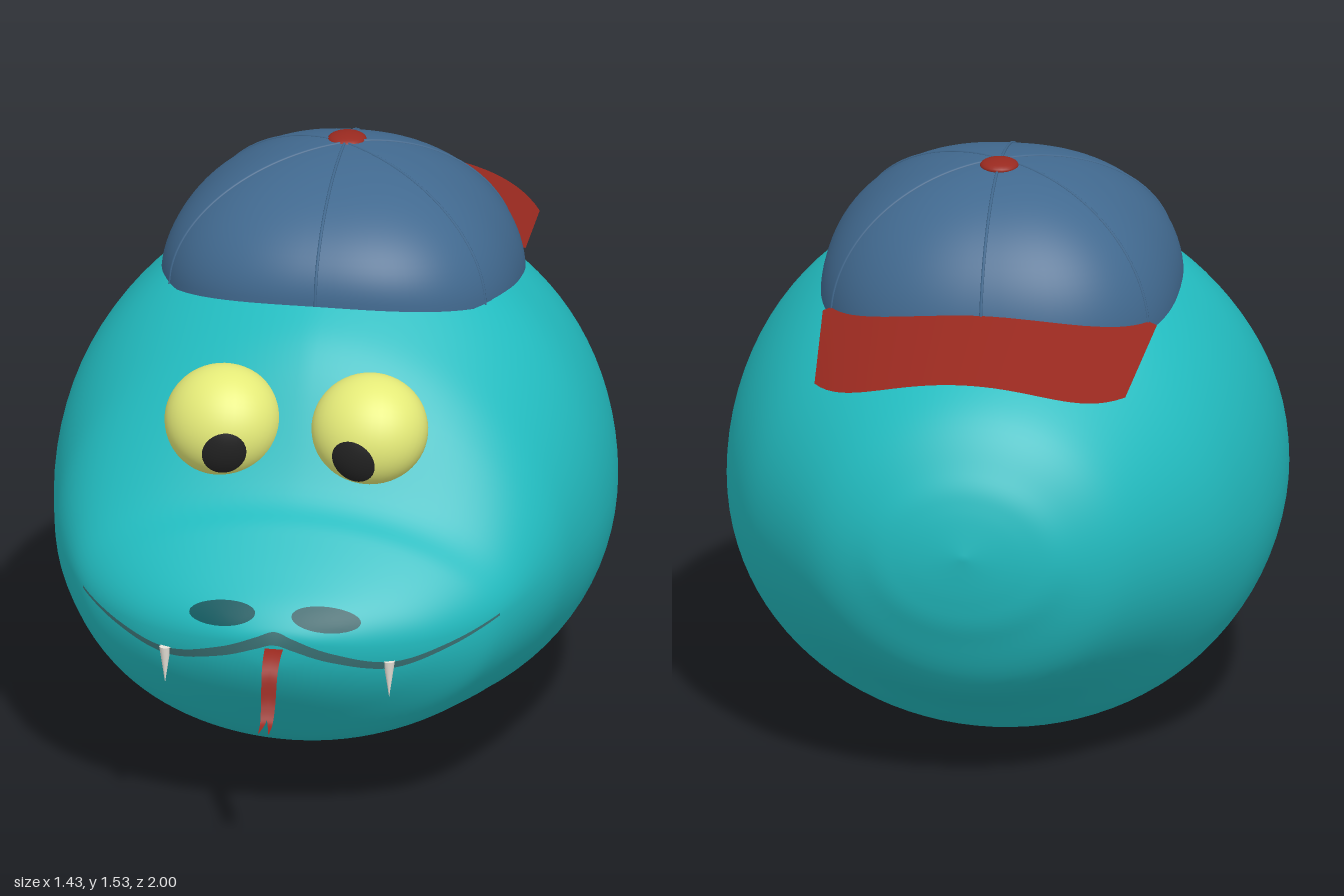
import * as THREE from 'three';
import { mergeVertices } from 'three/addons/utils/BufferGeometryUtils.js';

const mat = (color) => new THREE.MeshStandardMaterial({ color, side: THREE.DoubleSide });
const TEAL = mat(0x22bcc0), BLUE = mat(0x41698f), RED = mat(0x98291f), YELLOW = mat(0xe4ea78);
const BLACK = mat(0x222222), DARK = mat(0x0e5a60), LIP = mat(0x3a7073), BONE = mat(0xe8e4da);

// Smooth surface from a rule f(u, v) -> [x, y, z]; its front is along du x dv
function grid(nu, nv, f) {
  const pos = [], idx = [];
  for (let i = 0; i <= nu; i++) for (let j = 0; j <= nv; j++) pos.push(...f(i / nu, j / nv));
  for (let i = 0; i < nu; i++) for (let j = 0; j < nv; j++) {
    const a = i * (nv + 1) + j, b = a + nv + 1;
    idx.push(a, b, b + 1, a, b + 1, a + 1);
  }
  let g = new THREE.BufferGeometry();
  g.setAttribute('position', new THREE.Float32BufferAttribute(pos, 3));
  g.setIndex(idx);
  g = mergeVertices(g, 1e-5);
  g.computeVertexNormals();
  return g;
}

// Head cross-sections from back to snout: z, top, bottom, half width, widest height, pinch of the upper half
const SECTIONS = [
  [-0.975, 0.70, 0.70, 0, 0.70, 1],
  [-0.955, 0.82, 0.57, 0.16, 0.69, 1],
  [-0.92, 0.91, 0.46, 0.27, 0.68, 1],
  [-0.82, 1.05, 0.29, 0.42, 0.68, 1],
  [-0.60, 1.20, 0.16, 0.585, 0.66, 1],
  [-0.40, 1.32, 0.04, 0.67, 0.64, 1],
  [-0.20, 1.36, 0.005, 0.71, 0.64, 1],
  [0.00, 1.36, 0.03, 0.71, 0.64, 1.03],
  [0.22, 1.25, 0.095, 0.675, 0.63, 1.15],
  [0.36, 1.13, 0.135, 0.64, 0.62, 1.25],
  [0.52, 0.88, 0.18, 0.57, 0.59, 1.12],
  [0.62, 0.80, 0.225, 0.50, 0.57, 1],
  [0.72, 0.72, 0.33, 0.38, 0.56, 1],
  [0.79, 0.66, 0.42, 0.24, 0.56, 1],
  [0.83, 0.61, 0.50, 0.11, 0.57, 1],
  [0.842, 0.575, 0.575, 0, 0.575, 1],
];

function sectionAt(t) {
  const n = SECTIONS.length - 1, s = t * n, i = Math.min(Math.floor(s), n - 1), f = s - i;
  const row = (k) => SECTIONS[Math.max(0, Math.min(n, k))];
  return SECTIONS[0].map((_, c) => {
    const [a, b, d, e] = [row(i - 1)[c], row(i)[c], row(i + 1)[c], row(i + 2)[c]];
    return b + 0.5 * f * (d - a + f * (2 * a - 5 * b + 4 * d - e + f * (3 * (b - d) + e - a)));
  });
}

function headPoint(u, v) {
  const [z, top, bottom, w, mid, pinch] = sectionAt(v);
  const a = (u - 0.25) * Math.PI * 2, c = Math.cos(a), s = Math.sin(a);
  const x = w * Math.sign(c) * Math.pow(Math.abs(c), s > 0 ? pinch : 1);
  return [x, mid + s * (s > 0 ? top - mid : mid - bottom), z];
}

// Cap dome: rounded-square plan, rim sloping down to the back and to the sides
function capPoint(a, v) {
  const round = (c) => Math.sign(c) * Math.pow(Math.abs(c), 0.82);
  const e = v * Math.PI / 2, r = Math.cos(e);
  const x0 = 0.46 * round(Math.cos(a)), z0 = -0.21 - 0.43 * round(Math.sin(a));
  const rim = 1.224 + 0.118 * z0 - 0.15 * x0 * x0;
  return [x0 * r, rim + (1.52 - rim) * Math.sin(e), -0.23 + (z0 + 0.23) * r];
}

export function createModel() {
  const model = new THREE.Group();
  const add = (name, geometry, material, parent = model) => {
    const m = new THREE.Mesh(geometry, material);
    m.name = name;
    parent.add(m);
    return m;
  };

  // Head
  const head = add('head', grid(96, 120, headPoint), TEAL);
  head.updateMatrixWorld(true);
  const ray = new THREE.Raycaster(), back = new THREE.Vector3(0, 0, -1);
  const faceZ = (x, y) => {
    ray.set(new THREE.Vector3(x, y, 5), back);
    const hit = ray.intersectObject(head)[0];
    return hit ? hit.point.z : 0.55;
  };
  // Patch lying on the face, from a rule f(u, v) -> [x, y]
  const patch = (nu, nv, f) => grid(nu, nv, (u, v) => {
    const [x, y] = f(u, v);
    return [x, y, faceZ(x, y) + 0.005];
  });

  // Mouth line, thickest in the middle
  const lip = new THREE.SplineCurve([[-0.54, 0.585], [-0.43, 0.54], [-0.29, 0.505], [-0.15, 0.535], [-0.05, 0.572],
    [0, 0.588], [0.05, 0.572], [0.15, 0.535], [0.29, 0.505], [0.43, 0.54], [0.54, 0.585]]
    .map(([x, y]) => new THREE.Vector2(x, y)));
  add('mouth', patch(72, 2, (u, v) => {
    const p = lip.getPoint(u);
    return [p.x, p.y + (v - 0.5) * (0.006 + 0.028 * (1 - Math.abs(p.x) / 0.54))];
  }), LIP);

  for (const s of [-1, 1]) {
    const side = s > 0 ? 'left' : 'right';

    // Nostril
    add(side + 'Nostril', patch(4, 28, (u, v) => {
      const a = v * Math.PI * 2, x = 0.088 * u * Math.cos(a);
      return [s * 0.135 - 0.007 + x, 0.632 + 0.028 * u * Math.sin(a) - s * 0.1 * x];
    }), DARK);

    // Eye, tilted up along the brow, with a pupil looking down and inwards
    const eye = new THREE.Group();
    eye.name = side + 'Eye';
    eye.position.set(s * 0.19 - 0.015, 1.005, 0.415);
    eye.rotation.x = -0.56;
    eye.scale.set(0.15, 0.145, 0.12);
    add('eyeball', new THREE.SphereGeometry(1, 40, 28), YELLOW, eye);
    const pupil = new THREE.SphereGeometry(1.04, 28, 8, 0, Math.PI * 2, 0, 0.45);
    pupil.rotateX(Math.PI / 2).scale(0.84, 1, 1).rotateX(0.82).rotateY(-s * 0.24);
    add('pupil', pupil, BLACK, eye);
    model.add(eye);

    // Fang
    const fang = add(side + 'Fang', new THREE.ConeGeometry(0.015, 0.1, 14).rotateX(Math.PI), BONE);
    fang.position.set(s * 0.29 - 0.005, 0.465, faceZ(s * 0.29, 0.5) + 0.004);
  }

  // Forked tongue, two half ribbons parting near the tip
  const path = new THREE.CatmullRomCurve3([[0.56, 0.82], [0.555, 0.86], [0.52, 0.906], [0.44, 0.93], [0.4, 0.955], [0.39, 1.0]]
    .map(([y, z]) => new THREE.Vector3(0, y, z)));
  for (const s of [-1, 1]) {
    add('tongue', grid(2, 32, (u, v) => {
      const p = path.getPoint(v), inner = Math.max(0, v - 0.75) * 0.05, outer = 0.025 - 0.011 * v;
      return [s * (inner + (outer - inner) * u), p.y, p.z];
    }), RED);
  }

  // Backward cap: dome, seams, button and arched brim
  const cap = new THREE.Group();
  cap.name = 'cap';
  model.add(cap);
  add('capDome', grid(96, 28, (u, v) => capPoint(u * Math.PI * 2, v)), BLUE, cap);
  for (let k = 0; k < 6; k++) {
    const pts = [];
    for (let i = 0; i <= 10; i++) pts.push(new THREE.Vector3(...capPoint((k + 0.5) * Math.PI / 3, i / 10)));
    add('capSeam', new THREE.TubeGeometry(new THREE.CatmullRomCurve3(pts), 28, 0.004, 6), BLUE, cap);
  }
  const button = add('capButton', new THREE.SphereGeometry(0.05, 24, 14), RED, cap);
  button.scale.y = 0.35;
  button.position.set(0, 1.515, -0.265);
  add('brim', grid(40, 20, (u, v) => {
    const a = u * 2 - 1, tip = -1 + 0.16 * Math.pow(Math.abs(a), 5);
    const z = -0.45 + (tip + 0.45) * v;
    return [a * 0.43 * (1 - 0.07 * v), 1.235 + 0.15 * (z + 0.63) - 0.095 * a * a, z];
  }), RED, cap);

  return model;
}
